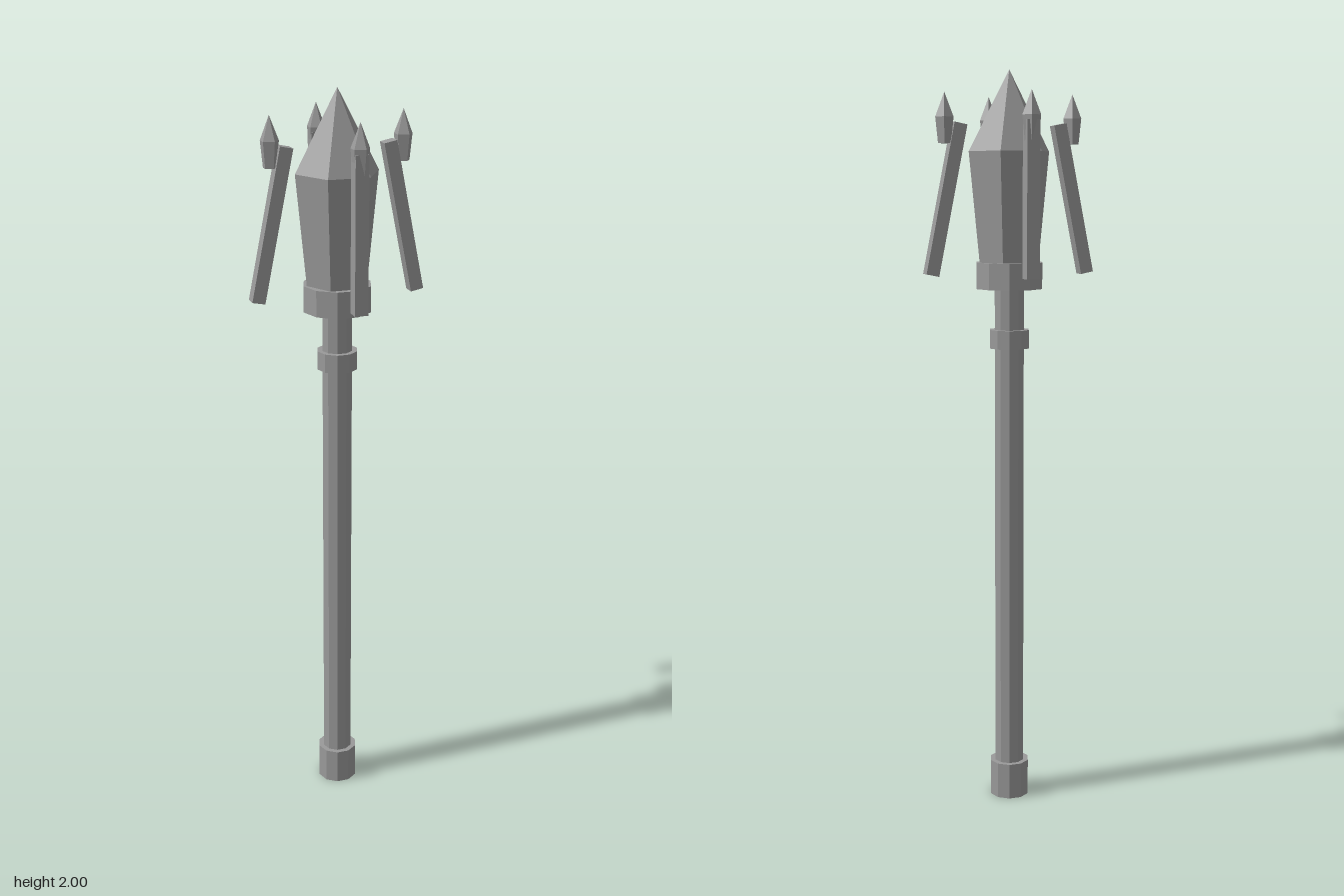
import * as THREE from 'three';

export function createModel() {
  const model = new THREE.Group();
  model.name = 'staff';
  const metal = new THREE.MeshStandardMaterial({ color: 0x999999, flatShading: true });
  metal.name = 'grey metal';

  function add(parent, name, geometry) {
    const mesh = new THREE.Mesh(geometry, metal);
    mesh.name = name;
    parent.add(mesh);
    return mesh;
  }

  // Faceted post between two heights, with a corner on +x
  function post(parent, name, rTop, rBottom, y0, y1, sides, open = false) {
    const geometry = new THREE.CylinderGeometry(rTop, rBottom, y1 - y0, sides, 1, open);
    geometry.rotateY(Math.PI / 2);
    return add(parent, name, geometry.translate(0, (y0 + y1) / 2, 0));
  }

  // Tapered body with a pointed top
  function crystal(parent, name, rBottom, rWide, y0, yWide, yTip, sides) {
    const group = new THREE.Group();
    group.name = name;
    const body = new THREE.LatheGeometry([
      new THREE.Vector2(0, y0),
      new THREE.Vector2(rBottom, y0),
      new THREE.Vector2(rWide, yWide),
      new THREE.Vector2(0, yTip),
    ], sides);
    add(group, name + 'Body', body.rotateY(Math.PI / 2));
    parent.add(group);
    return group;
  }

  // Handle
  post(model, 'shaft', 0.041, 0.041, 0.02, 1.46, 10);
  post(model, 'buttCap', 0.055, 0.055, 0, 0.1, 10);
  post(model, 'neckRing', 0.055, 0.055, 1.27, 1.32, 10);
  post(model, 'headCollar', 0.092, 0.092, 1.43, 1.5, 10);

  // Large central crystal
  crystal(model, 'centralCrystal', 0.08, 0.112, 1.47, 1.79, 2, 6);

  // Four floating prongs with small spikes; only the side pair leans inward
  const offset = 0.177;
  const prongs = [
    ['left', offset, 0, 0.2],
    ['right', -offset, 0, -0.2],
    ['front', 0, offset, 0],
    ['back', 0, -offset, 0],
  ];
  for (const [side, x, z, lean] of prongs) {
    const prong = add(model, side + 'Prong', new THREE.BoxGeometry(0.035, 0.4, 0.035));
    prong.position.set(x, 1.665, z);
    prong.rotation.z = lean;
    const spike = crystal(model, side + 'Spike', 0.018, 0.025, 1.81, 1.877, 1.94, 5);
    spike.position.set(x, 0, z);
  }

  return model;
}
